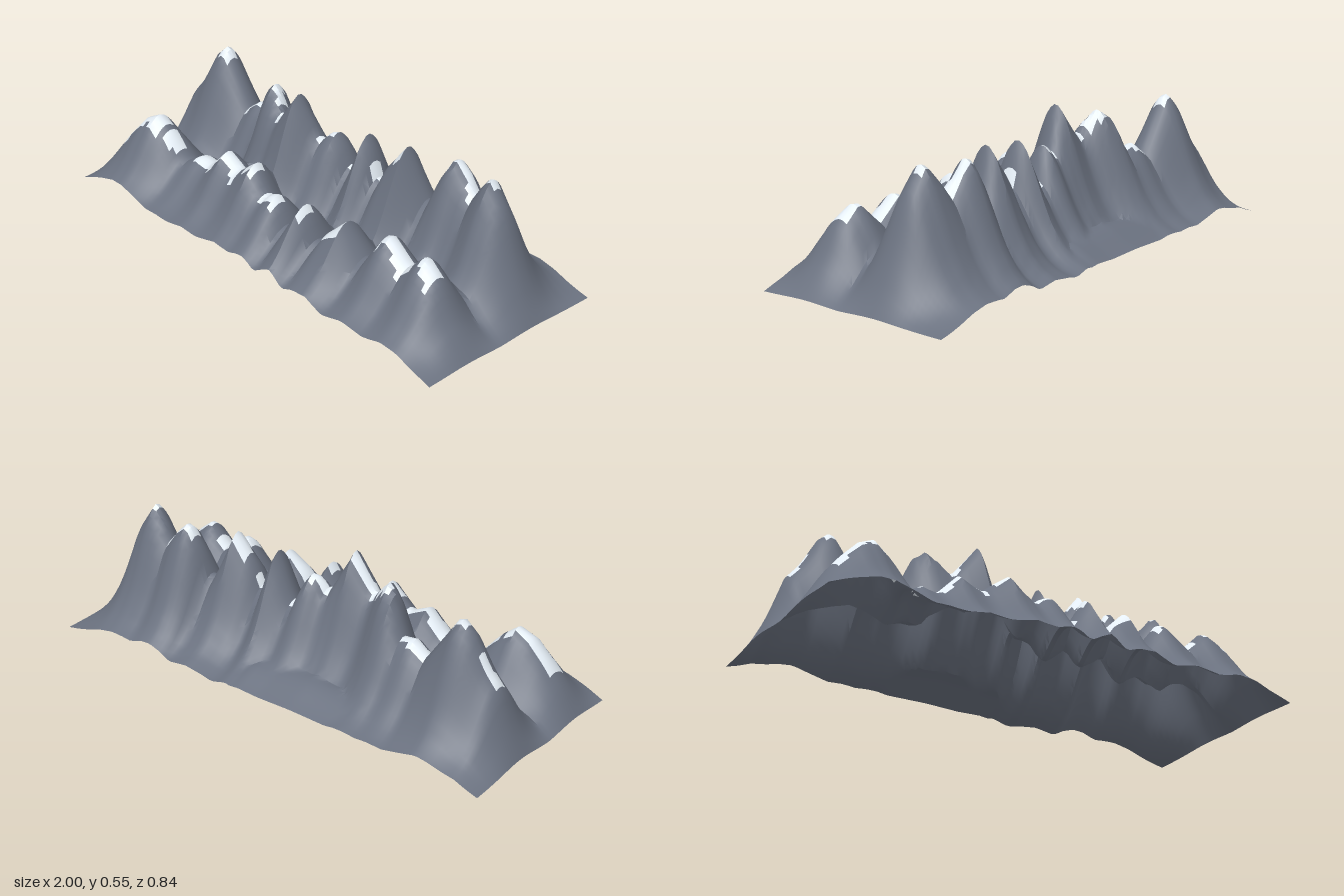
import * as THREE from 'three';
import { toCreasedNormals } from 'three/addons/utils/BufferGeometryUtils.js';

// Linear lookup in a list of [position, value] pairs
function lookup(points, t) {
  if (t <= points[0][0]) return points[0][1];
  for (let i = 1; i < points.length; i++) {
    const [x0, v0] = points[i - 1], [x1, v1] = points[i];
    if (t <= x1) return v0 + (v1 - v0) * (t - x0) / (x1 - x0);
  }
  return points[points.length - 1][1];
}

// Fall-off of a ridge with distance from its crest
const SLOPE = [[0, 1], [0.02, 0.98], [0.05, 0.9], [0.09, 0.71], [0.125, 0.53], [0.16, 0.38],
  [0.21, 0.23], [0.26, 0.145], [0.32, 0.095], [0.42, 0.06], [0.6, 0.03]];

// Each ridge: crest height and crest z along x, and the stretches under snow
const backRidge = {
  height: [[-1, 0.025], [-0.95, 0.14], [-0.9, 0.29], [-0.85, 0.35], [-0.78, 0.475], [-0.73, 0.52],
    [-0.67, 0.43], [-0.58, 0.3], [-0.52, 0.345], [-0.46, 0.335], [-0.4, 0.475], [-0.36, 0.505],
    [-0.32, 0.47], [-0.27, 0.41], [-0.22, 0.475], [-0.16, 0.555], [-0.1, 0.43], [-0.07, 0.37],
    [-0.03, 0.42], [0, 0.43], [0.03, 0.39], [0.07, 0.28], [0.1, 0.34], [0.165, 0.495], [0.23, 0.29],
    [0.28, 0.4], [0.36, 0.505], [0.41, 0.37], [0.45, 0.28], [0.5, 0.43], [0.55, 0.515], [0.6, 0.465],
    [0.66, 0.4], [0.7, 0.46], [0.755, 0.525], [0.83, 0.42], [0.9, 0.22], [0.95, 0.1], [1, 0.01]],
  crest: [[-1, -0.15], [-0.73, -0.15], [-0.47, -0.13], [-0.36, -0.08], [-0.25, -0.03], [-0.15, -0.025],
    [-0.05, -0.07], [0.07, -0.1], [0.2, -0.085], [0.36, -0.1], [0.5, -0.16], [0.6, -0.17],
    [0.75, -0.13], [1, -0.11]],
  snow: [[-0.9, -0.82], [-0.76, -0.71], [-0.58, -0.45], [-0.37, -0.31], [-0.27, -0.16], [-0.08, 0],
    [0.06, 0.08], [0.2, 0.26], [0.3, 0.37], [0.53, 0.66], [0.74, 0.77]],
  snowBand: [-0.03, 0.015],
};
const frontRidge = {
  height: [[-1, 0.02], [-0.93, 0.14], [-0.87, 0.22], [-0.8, 0.295], [-0.74, 0.325], [-0.67, 0.27],
    [-0.59, 0.17], [-0.52, 0.21], [-0.45, 0.2], [-0.36, 0.295], [-0.27, 0.25], [-0.16, 0.335],
    [-0.07, 0.23], [-0.03, 0.265], [0, 0.27], [0.03, 0.24], [0.07, 0.15], [0.165, 0.31], [0.23, 0.15],
    [0.28, 0.23], [0.36, 0.305], [0.45, 0.17], [0.5, 0.26], [0.55, 0.325], [0.66, 0.24], [0.75, 0.325],
    [0.83, 0.265], [0.9, 0.14], [1, 0.01]],
  crest: [[-1, 0.22], [-0.8, 0.22], [-0.65, 0.2], [-0.5, 0.17], [-0.3, 0.175], [-0.15, 0.2],
    [-0.05, 0.23], [0.12, 0.24], [0.3, 0.22], [0.5, 0.175], [0.7, 0.185], [0.85, 0.21], [1, 0.22]],
  snow: [[-0.9, -0.7], [-0.67, -0.62], [-0.53, -0.26], [-0.22, -0.14], [-0.08, 0.02], [0.08, 0.1],
    [0.14, 0.17], [0.23, 0.36], [0.53, 0.69], [0.74, 0.83]],
  snowBand: [-0.03, 0.04],
};
// Low shelf behind the back ridge
const foothill = {
  height: [[-0.6, 0], [-0.4, 0.09], [-0.15, 0.11], [0.1, 0.1], [0.35, 0]],
  crest: [[-0.6, -0.27], [0, -0.26], [0.35, -0.31]],
  snow: [],
};
const ridges = [backRidge, frontRidge, foothill];

function heightAt(x, z) {
  return Math.max(...ridges.map(r =>
    lookup(r.height, x) * lookup(SLOPE, Math.abs(z - lookup(r.crest, x)))));
}

function isSnow(x, z) {
  return ridges.some(r => r.snow.some(([from, to]) => {
    if (x < from || x > to) return false;
    const d = z - lookup(r.crest, x);
    // Ragged lower edge: every few columns the snow runs further down
    const run = 0.02 * Math.max(0, Math.sin(x * 41));
    return d > r.snowBand[0] && d < r.snowBand[1] + run;
  }));
}

export function createModel() {
  const NX = 100, NZ = 44, HALF_DEPTH = 0.42;
  const positions = [], rock = [], snow = [];

  // Terrain grid
  for (let j = 0; j <= NZ; j++) {
    for (let i = 0; i <= NX; i++) {
      const x = -1 + 2 * i / NX, z = HALF_DEPTH * (2 * j / NZ - 1);
      positions.push(x, heightAt(x, z), z);
    }
  }
  let low = Infinity;
  for (let k = 1; k < positions.length; k += 3) low = Math.min(low, positions[k]);
  for (let k = 1; k < positions.length; k += 3) positions[k] -= low;

  // Sort the cells into bare rock and snow
  for (let j = 0; j < NZ; j++) {
    for (let i = 0; i < NX; i++) {
      const a = j * (NX + 1) + i, b = a + NX + 1;
      const x = -1 + 2 * (i + 0.5) / NX, z = HALF_DEPTH * (2 * (j + 0.5) / NZ - 1);
      (isSnow(x, z) ? snow : rock).push(a, b, a + 1, a + 1, b, b + 1);
    }
  }
  const grid = new THREE.BufferGeometry();
  grid.setAttribute('position', new THREE.Float32BufferAttribute(positions, 3));
  grid.setIndex([...rock, ...snow]);
  const terrain = toCreasedNormals(grid, 0.7);

  // Cut the shaded terrain into its two coloured surfaces
  const group = new THREE.Group();
  group.name = 'mountainRange';
  const addPart = (name, color, start, end) => {
    const geometry = new THREE.BufferGeometry();
    for (const key of ['position', 'normal']) {
      const part = terrain.attributes[key].array.slice(start * 3, end * 3);
      geometry.setAttribute(key, new THREE.BufferAttribute(part, 3));
    }
    const material = new THREE.MeshStandardMaterial({ color, side: THREE.DoubleSide });
    const mesh = new THREE.Mesh(geometry, material);
    mesh.name = name;
    group.add(mesh);
  };
  addPart('rockSlopes', 0x6b7280, 0, rock.length);
  addPart('snowCaps', 0xe5eef6, rock.length, rock.length + snow.length);
  return group;
}
